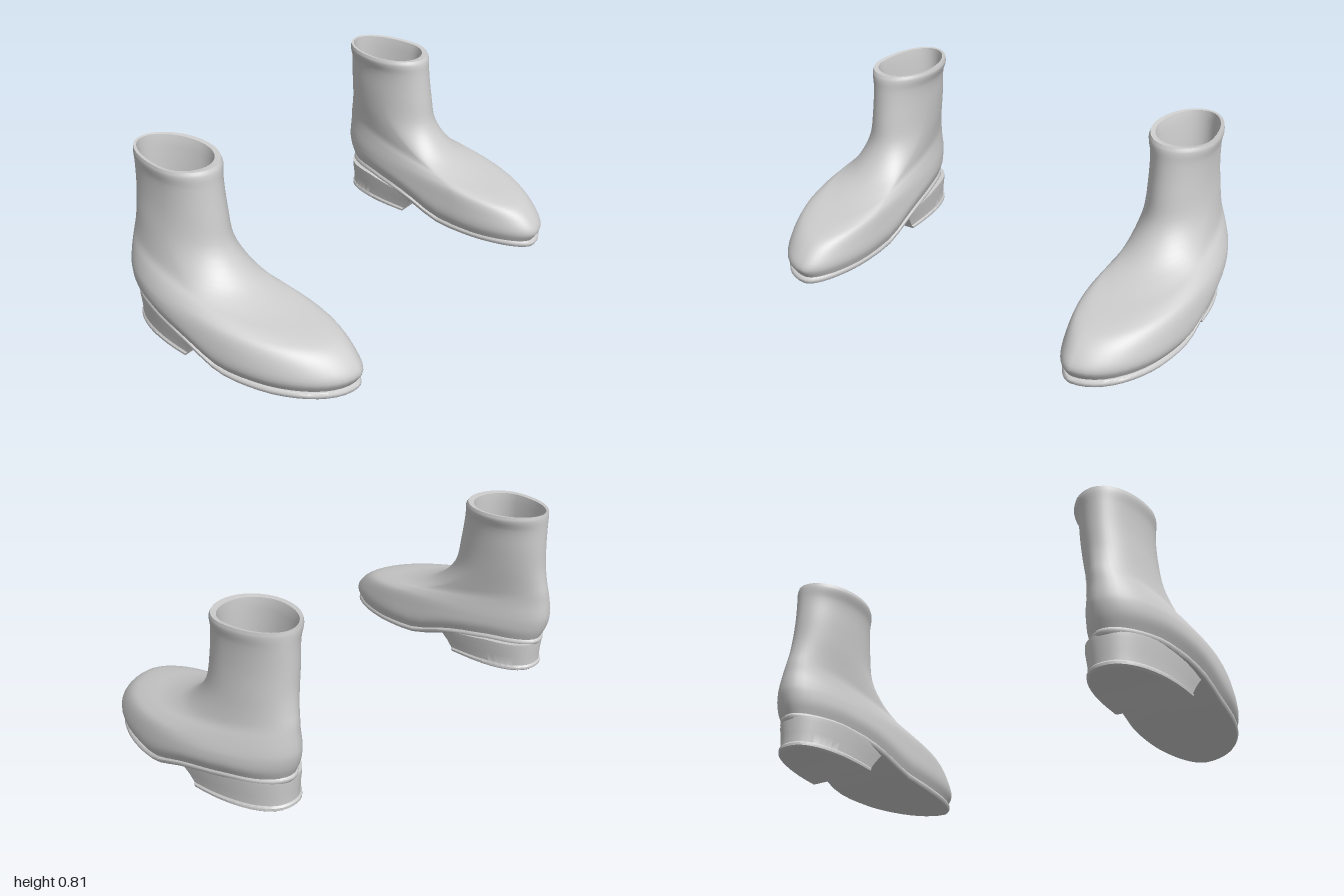
import * as THREE from 'three';
import { toCreasedNormals } from 'three/addons/utils/BufferGeometryUtils.js';

const N = 56; // points around each outline

// Height of the welt line from toe to heel, as [z, y]
const WELT = [[0.6, 0.034], [0.3, 0.042], [0.12, 0.055], [0.05, 0.068], [0, 0.088], [-0.1, 0.126],
  [-0.2, 0.15], [-0.35, 0.174], [-0.6, 0.18]];
function weltY(z) {
  let i = 1;
  while (i < WELT.length - 1 && z < WELT[i][0]) i++;
  const [z0, y0] = WELT[i - 1], [z1, y1] = WELT[i];
  return THREE.MathUtils.lerp(y0, y1, (z - z0) / (z1 - z0));
}

// Four quarter ellipses through front, outer, back and inner points ([x, z] each)
function outline(front, outer, back, inner, yAt) {
  const ring = [];
  for (let i = 0; i < N; i++) {
    const a = (i / N) * Math.PI * 2, s = Math.sin(a), c = Math.cos(a);
    const end = c >= 0 ? front : back, side = s >= 0 ? outer : inner;
    const x = end[0] + (side[0] - end[0]) * Math.abs(s);
    const z = side[1] + (end[1] - side[1]) * Math.abs(c);
    ring.push(new THREE.Vector3(x, yAt(z), z));
  }
  return ring;
}

// Skin a stack of rings, with optional strip caps; side -1 mirrors it
function loft(rings, side, { bottom = false, top = false, crease = 0 } = {}) {
  const n = rings[0].length, pos = [], index = [];
  rings.flat().forEach((p) => pos.push(p.x * side, p.y, p.z));
  const tri = (a, b, c) => (side > 0 ? index.push(a, b, c) : index.push(a, c, b));
  const quad = (a, b, c, d) => { tri(a, b, c); tri(a, c, d); };
  for (let j = 0; j < rings.length - 1; j++) {
    for (let i = 0; i < n; i++) {
      const k = (i + 1) % n, lo = j * n, hi = lo + n;
      quad(lo + i, lo + k, hi + k, hi + i);
    }
  }
  const cap = (start, up) => {
    for (let i = 0; i < n / 2; i++) {
      const a = start + i, b = a + 1, c = start + n - i - 1, d = start + ((n - i) % n);
      if (up) quad(a, b, c, d); else quad(d, c, b, a);
    }
  };
  if (bottom) cap(0, false);
  if (top) cap((rings.length - 1) * n, true);
  const geo = new THREE.BufferGeometry();
  geo.setAttribute('position', new THREE.Float32BufferAttribute(pos, 3));
  geo.setIndex(index);
  geo.computeVertexNormals();
  return crease ? toCreasedNormals(geo, crease) : geo;
}

// Pass smooth curves through matching points of the key rings
function smoothRings(keys, steps) {
  const curves = keys[0].map((_, i) => new THREE.CatmullRomCurve3(keys.map((r) => r[i])));
  const count = (keys.length - 1) * steps;
  return Array.from({ length: count + 1 }, (_, j) => curves.map((c) => c.getPoint(j / count)));
}

// A tilted ring of the upper: front and back are [x, y, z]
function tilted(front, back, outer, inner) {
  const yAt = (z) => THREE.MathUtils.mapLinear(z, front[2], back[2], front[1], back[1]);
  return outline([front[0], front[2]], outer, [back[0], back[2]], inner, yAt);
}

function upperRings() {
  const low = (h, f, o, b, i) => outline([0.70, f], [o, 0], [0.76, b], [i, 0.18], (z) => weltY(z) + h);
  const shoulder = outline([0.70, 0.53], [0.998, 0], [0.76, -0.565], [0.56, 0.18],
    (z) => 0.5 * (weltY(z) + 0.1) + 0.5 * THREE.MathUtils.mapLinear(z, 0.53, -0.565, 0.14, 0.28));
  return smoothRings([
    low(-0.005, 0.54, 0.975, -0.53, 0.575),
    low(0.045, 0.567, 1.0, -0.552, 0.557),
    shoulder,
    tilted([0.70, 0.185, 0.47], [0.76, 0.32, -0.565], [0.985, -0.02], [0.567, 0.16]),
    tilted([0.71, 0.212, 0.39], [0.76, 0.37, -0.56], [0.958, -0.06], [0.582, 0.1]),
    tilted([0.72, 0.255, 0.2], [0.755, 0.42, -0.555], [0.925, -0.13], [0.60, 0]),
    tilted([0.73, 0.32, 0.05], [0.75, 0.47, -0.545], [0.905, -0.2], [0.608, -0.12]),
    tilted([0.735, 0.44, -0.06], [0.745, 0.54, -0.535], [0.884, -0.27], [0.612, -0.25]),
    tilted([0.735, 0.58, -0.09], [0.74, 0.64, -0.532], [0.87, -0.28], [0.608, -0.3]),
    tilted([0.735, 0.71, -0.11], [0.74, 0.74, -0.53], [0.87, -0.28], [0.60, -0.31]),
    tilted([0.735, 0.765, -0.117], [0.735, 0.79, -0.53], [0.88, -0.28], [0.582, -0.32]),
    tilted([0.735, 0.784, -0.128], [0.735, 0.81, -0.527], [0.877, -0.28], [0.586, -0.32]),
  ], 4);
}

// Rim fold and inside wall, running down to the insole
function liningRings() {
  return [
    tilted([0.735, 0.784, -0.128], [0.735, 0.81, -0.527], [0.877, -0.28], [0.586, -0.32]),
    tilted([0.735, 0.782, -0.158], [0.735, 0.807, -0.518], [0.86, -0.28], [0.604, -0.32]),
    tilted([0.735, 0.74, -0.16], [0.735, 0.76, -0.515], [0.852, -0.28], [0.618, -0.31]),
    tilted([0.735, 0.5, -0.15], [0.74, 0.5, -0.515], [0.855, -0.28], [0.625, -0.3]),
    tilted([0.735, 0.22, -0.13], [0.75, 0.23, -0.53], [0.88, -0.27], [0.625, -0.29]),
  ];
}

// Thin sole with a rounded welt, following the arch
function soleRings() {
  const layer = (inset, drop) => outline([0.70, 0.56 - inset], [0.985 - inset, 0.04],
    [0.76, -0.54 + inset], [0.567 + inset, 0.16], (z) => weltY(z) - drop);
  return [layer(0.02, 0.03), layer(0.007, 0.028), layer(0, 0.018), layer(0, 0.008), layer(0.008, 0),
    layer(0.03, 0)];
}

// D-shaped stacked heel with a slanted front face
function heelRings() {
  const layer = (t, inset) => {
    const zFront = THREE.MathUtils.lerp(-0.15, -0.085, t);
    const half = THREE.MathUtils.lerp(0.168, 0.186, t) - inset;
    const depth = zFront + 0.535 - inset, cx = 0.777, pts = [[cx, zFront], [cx + half / 2, zFront]];
    for (let i = 0; i <= 28; i++) {
      const a = (i / 28) * Math.PI, c = Math.cos(a);
      pts.push([cx - 0.02 * Math.sin(a) + half * Math.sign(c) * Math.abs(c) ** 0.88,
        zFront - depth * Math.max(0, Math.sin(a)) ** 0.88]);
    }
    pts.push([cx - half / 2, zFront]);
    return pts.map(([x, z]) => {
      const base = THREE.MathUtils.mapLinear(z, -0.15, -0.53, 0, 0.02);
      return new THREE.Vector3(x, THREE.MathUtils.lerp(Math.max(0, base), weltY(z) - 0.02, t), z);
    });
  };
  return [layer(0, 0.01), layer(0.05, 0.002), layer(0.13, 0.002), layer(0.19, 0.009), layer(0.5, 0.008),
    layer(0.85, 0.003), layer(1, 0.003)];
}

export function createModel() {
  const leather = new THREE.MeshStandardMaterial({ color: 0xcccccc });
  leather.name = 'pale grey leather';
  const model = new THREE.Group();
  model.name = 'ankleBoots';

  for (const side of [1, -1]) {
    const boot = new THREE.Group();
    boot.name = side > 0 ? 'leftBoot' : 'rightBoot';
    const add = (name, geometry) => {
      const mesh = new THREE.Mesh(geometry, leather);
      mesh.name = name;
      boot.add(mesh);
    };
    add('upper', loft(upperRings(), side));
    add('lining', loft(liningRings(), side, { top: true, crease: 0.9 }));
    add('sole', loft(soleRings(), side, { bottom: true, top: true, crease: 0.8 }));
    add('heel', loft(heelRings(), side, { bottom: true, top: true, crease: 0.7 }));
    model.add(boot);
  }
  return model;
}
